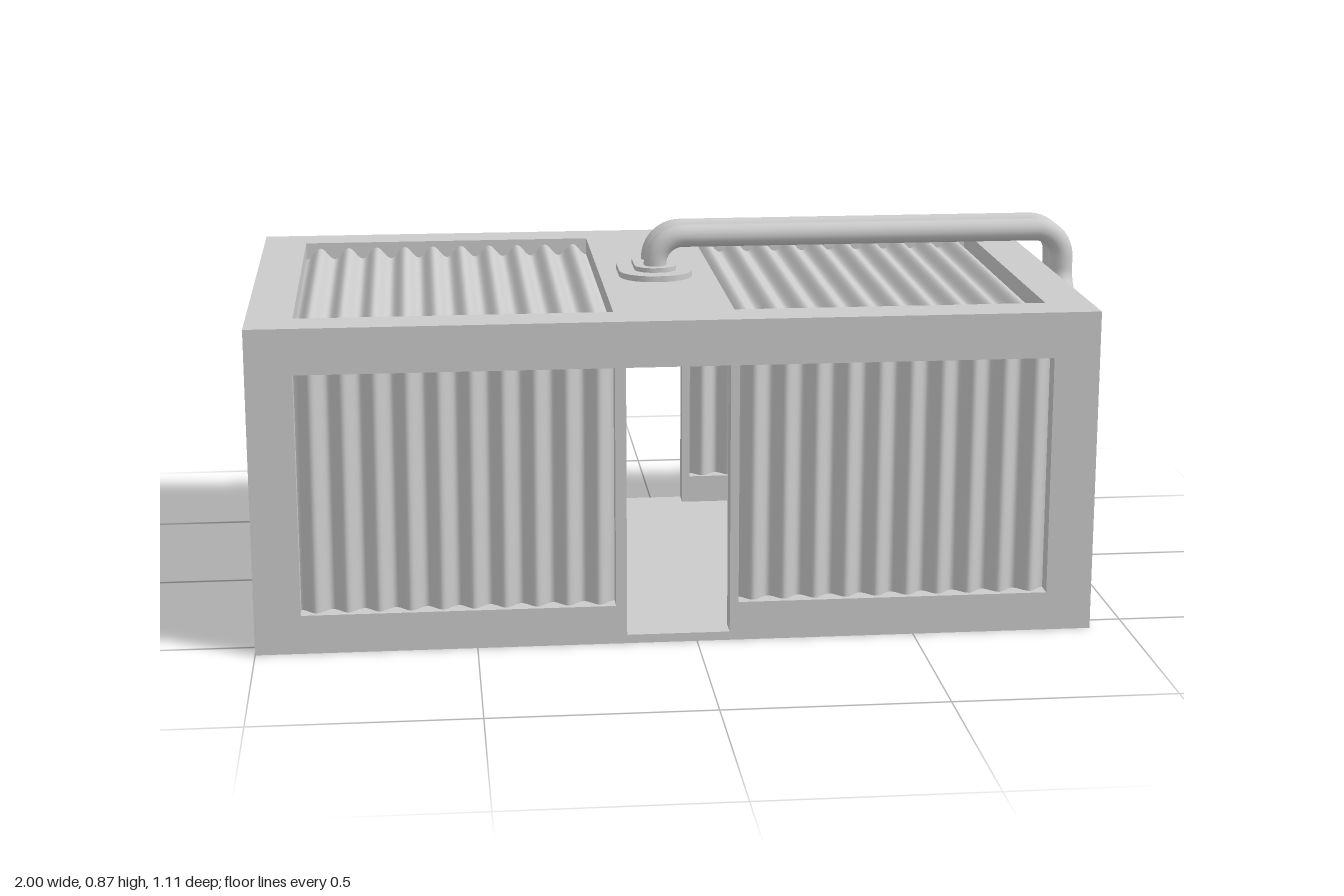
import * as THREE from 'three';

const X0 = -1, X1 = 0.915, H = 0.75, D = 0.555, T = 0.05;
const mat = new THREE.MeshStandardMaterial({ color: 0xcccccc });
const thin = new THREE.MeshStandardMaterial({ color: 0xcccccc, side: THREE.DoubleSide });
const V = (x, y, z) => new THREE.Vector3(x, y, z);

function add(parent, name, geo, material = mat) {
  const mesh = new THREE.Mesh(geo, material);
  mesh.name = name;
  parent.add(mesh);
  return mesh;
}

function box(parent, name, x0, x1, y0, y1, z0, z1) {
  const mesh = add(parent, name, new THREE.BoxGeometry(x1 - x0, y1 - y0, z1 - z0));
  mesh.position.set((x0 + x1) / 2, (y0 + y1) / 2, (z0 + z1) / 2);
  return mesh;
}

const rect = (x0, x1, y0, y1) => [[x0, y0], [x1, y0], [x1, y1], [x0, y1]];

// Rectangle with cut corners
const octagon = (x0, x1, y0, y1, c) => [
  [x0 + c, y0], [x1 - c, y0], [x1, y0 + c], [x1, y1 - c],
  [x1 - c, y1], [x0 + c, y1], [x0, y1 - c], [x0, y0 + c]];

// Flat plate with openings, extruded along +z
function plate(outline, holes, depth) {
  const toPoints = a => a.map(p => new THREE.Vector2(...p));
  const shape = new THREE.Shape(toPoints(outline));
  holes.forEach(h => shape.holes.push(new THREE.Path(toPoints(h))));
  return new THREE.ExtrudeGeometry(shape, { depth, bevelEnabled: false });
}

// Corrugated sheet with ridges running along its local y
function corrugated(x0, x1, y0, y1, waves = 10) {
  const w = x1 - x0;
  const geo = new THREE.PlaneGeometry(w, y1 - y0, waves * 12, 1);
  const p = geo.attributes.position;
  for (let i = 0; i < p.count; i++) {
    const t = (p.getX(i) + w / 2) / w;
    p.setZ(i, -0.014 * Math.cos(t * waves * Math.PI * 2));
  }
  geo.translate((x0 + x1) / 2, (y0 + y1) / 2, 0);
  geo.computeVertexNormals();
  return geo;
}

// Pipe through corner points with rounded bends
function pipe(points, radius, bend, segments) {
  const path = new THREE.CurvePath();
  let from = points[0];
  for (let i = 1; i < points.length - 1; i++) {
    const c = points[i];
    const a = c.clone().add(points[i - 1].clone().sub(c).setLength(bend));
    const b = c.clone().add(points[i + 1].clone().sub(c).setLength(bend));
    const k = 0.55;
    path.add(new THREE.LineCurve3(from, a));
    path.add(new THREE.CubicBezierCurve3(a, a.clone().lerp(c, k), b.clone().lerp(c, k), b));
    from = b;
  }
  path.add(new THREE.LineCurve3(from, points[points.length - 1]));
  return new THREE.TubeGeometry(path, segments, radius, 16);
}

// Rounded-end flange lying flat, centred on the pipe pair
function flange(w, l, r, h) {
  const s = new THREE.Shape();
  s.moveTo(-w / 2 + r, -l / 2);
  s.lineTo(w / 2 - r, -l / 2);
  s.absarc(w / 2 - r, -l / 2 + r, r, -Math.PI / 2, 0);
  s.absarc(w / 2 - r, l / 2 - r, r, 0, Math.PI / 2);
  s.absarc(-w / 2 + r, l / 2 - r, r, Math.PI / 2, Math.PI);
  s.absarc(-w / 2 + r, -l / 2 + r, r, Math.PI, Math.PI * 1.5);
  return new THREE.ExtrudeGeometry(s, { depth: h, bevelEnabled: false, curveSegments: 10 }).rotateX(-Math.PI / 2);
}

export function createModel() {
  const model = new THREE.Group();
  model.name = 'containerShelter';

  // Floor and roof
  box(model, 'floor', X0 + T, X1 - T, 0, 0.02, -D + T, D - T);
  const roof = new THREE.Group();
  roof.name = 'roof';
  roof.rotation.x = -Math.PI / 2;
  roof.position.y = H - T;
  model.add(roof);
  const roofBays = [[-0.895, -0.18], [0.095, 0.81]];
  add(roof, 'roofFrame', plate(rect(X0, X1, -D, D),
    roofBays.map(([a, b]) => rect(a, b, -0.45, 0.45)), T));
  roofBays.forEach(([a, b]) => {
    add(roof, 'roofPanel', corrugated(a, b, -0.45, 0.45), thin).position.z = 0.022;
  });

  // Long walls, each with two corrugated bays and a doorway
  const wallBays = [[-0.895, -0.185], [0.095, 0.81]];
  for (const side of [1, -1]) {
    const wall = new THREE.Group();
    wall.name = side > 0 ? 'frontWall' : 'backWall';
    wall.position.z = side > 0 ? D - T : -D;
    model.add(wall);
    const holes = wallBays.map(([a, b]) => rect(a, b, 0.09, 0.645));
    holes.push(rect(-0.16, 0.075, 0.02, 0.645));
    add(wall, 'wallFrame', plate(rect(X0, X1, 0, H - T), holes, T));
    wallBays.forEach(([a, b]) => {
      const panel = add(wall, 'wallPanel', corrugated(a, b, 0.09, 0.645), thin);
      panel.position.z = side > 0 ? 0.022 : T - 0.022;
    });
  }

  // End walls: open on one end, closed by a recessed panel on the other
  const end = rect(-D + T, D - T, 0, H - T);
  const opening = octagon(-0.45, 0.45, 0.09, 0.645, 0.087);
  const lip = octagon(-0.43, 0.43, 0.11, 0.625, 0.08);
  const endPlate = (name, holes, x, depth) =>
    add(model, name, plate(end, holes, depth).rotateY(Math.PI / 2)).position.x = x;
  endPlate('openEndFrame', [opening], X0, T);
  endPlate('openEndInnerLip', [lip], X0 + T, 0.03);
  endPlate('closedEndFrame', [opening], X1 - 0.025, 0.025);
  endPlate('closedEndPanel', [], X1 - T, 0.025);

  // Flange where the pipes enter the roof
  add(model, 'roofFlange', flange(0.175, 0.255, 0.08, 0.014)).position.set(-0.047, H, 0);
  add(model, 'roofFlangeCollar', flange(0.1, 0.17, 0.045, 0.025)).position.set(-0.047, H, 0);

  // Two pipes over the roof and down to the end units
  const routes = [
    { z: 0.038, y: 0.683, out: 0.298, low: 0.235 },
    { z: -0.038, y: 0.605, out: 0.215, low: 0.425 }];
  const px = 0.947, py = 0.844;
  routes.forEach(({ z, y, out, low }) => {
    add(model, 'pipe', pipe([
      V(-0.047, H, z), V(-0.047, py, z), V(px, py, z), V(px, y, z),
      V(px, y, out), V(px, low, out), V(px, low, 0.11)], 0.0275, 0.066, 200));
  });

  // Two end units with a side cover and three hooked cables each
  for (const y of [0.157, 0.345]) {
    const unit = new THREE.Group();
    unit.name = 'endUnit';
    unit.position.y = y;
    model.add(unit);
    box(unit, 'unitBody', 0.885, 1, 0, 0.163, -0.117, 0.12);
    box(unit, 'unitFoot', 0.885, 0.975, -0.005, 0, -0.105, 0.108);
    box(unit, 'unitCover', 0.905, 0.985, 0.025, 0.14, -0.13, -0.117);
    [0.058, 0.077, 0.096].forEach(cy => {
      add(unit, 'unitCable', pipe([
        V(0.945, cy, -0.12), V(0.945, cy, -0.159), V(0.885, cy, -0.159)], 0.0045, 0.018, 20));
    });
  }
  return model;
}
